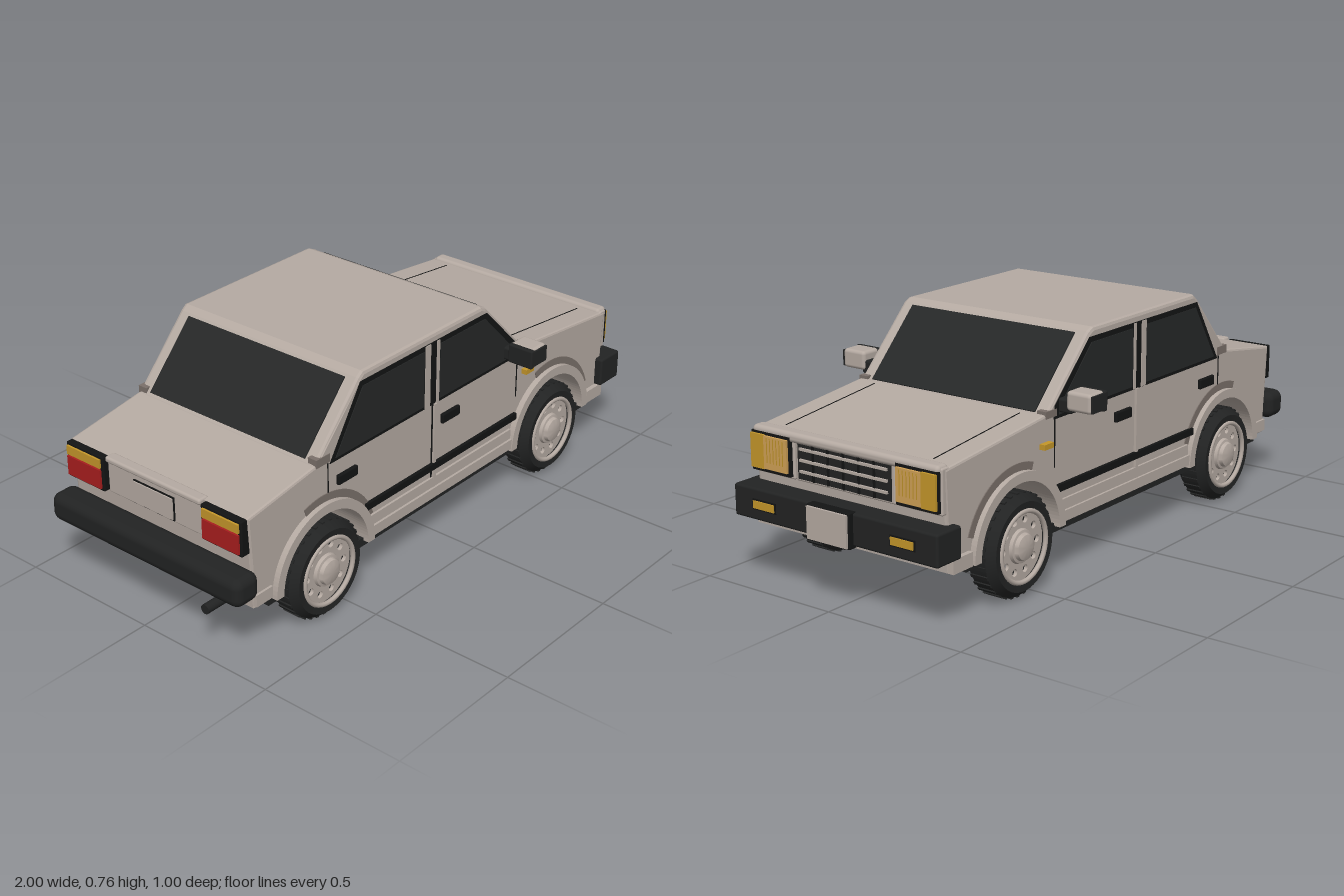
import * as THREE from 'three';
import { mergeGeometries, toCreasedNormals } from 'three/addons/utils/BufferGeometryUtils.js';
import { RoundedBoxGeometry } from 'three/addons/geometries/RoundedBoxGeometry.js';

const mat = (name, color) => Object.assign(new THREE.MeshStandardMaterial({ color }), { name });

export function createModel() {
  const paint = mat('body paint', 0xb5aaa2);
  const shade = mat('dark paint', 0x7a706a);
  const black = mat('black plastic', 0x222323);
  const trim = mat('trim', 0x131414);
  const glass = mat('glass', 0x262828);
  const lens = mat('headlight lens', 0xcfa055);
  const amber = mat('amber lens', 0xc4962a);
  const red = mat('red lens', 0xa81e1e);
  const car = new THREE.Group();
  car.name = 'car';

  const add = (name, geo, m, x = 0, y = 0, z = 0, parent = car) => {
    const mesh = new THREE.Mesh(geo, m);
    mesh.name = name;
    mesh.position.set(x, y, z);
    parent.add(mesh);
    return mesh;
  };
  // box given by its extents on each axis
  const box = (name, m, [x0, x1], [y0, y1], [z0, z1], r = 0) => {
    const d = [x1 - x0, y1 - y0, z1 - z0];
    const geo = r ? new RoundedBoxGeometry(...d, 3, r) : new THREE.BoxGeometry(...d);
    add(name, geo, m, (x0 + x1) / 2, (y0 + y1) / 2, (z0 + z1) / 2);
  };
  // the same box on both flanks
  const pair = (name, m, x, y, [z0, z1], r) => {
    box(name, m, x, y, [z0, z1], r);
    box(name, m, x, y, [-z1, -z0], r);
  };
  const poly = (pts) => new THREE.Shape(pts.map(([x, y]) => new THREE.Vector2(x, y)));
  const extrude = (shape, depth, bevel = 0) => new THREE.ExtrudeGeometry(shape, {
    depth: depth - 2 * bevel, curveSegments: 24, bevelEnabled: bevel > 0,
    bevelThickness: bevel, bevelSize: bevel, bevelOffset: -bevel, bevelSegments: 2,
  });
  // extruded outline on both flanks
  const slab = (name, shape, m, z0, z1) => {
    const geo = extrude(shape, z1 - z0);
    for (const z of [z0, -z1]) add(name, geo, m, 0, 0, z);
  };

  // lower body with wheel arches cut right through
  const axles = [-0.6, 0.57];
  const s = new THREE.Shape();
  s.moveTo(-0.9, 0.17);
  for (const x of axles) {
    s.lineTo(x - 0.2, 0.17);
    s.absarc(x, 0.17, 0.195, Math.PI, 0, true);
  }
  [[0.89, 0.17], [0.905, 0.485], [0.43, 0.535], [-0.63, 0.53], [-0.92, 0.485]].forEach((p) => s.lineTo(...p));
  s.closePath();
  add('body', extrude(s, 0.744, 0.008), paint, 0, 0, -0.364);
  box('underbody', black, [-0.84, 0.81], [0.15, 0.18], [-0.37, 0.37]);
  box('frontValance', paint, [0.8, 0.89], [0.17, 0.215], [-0.388, 0.388]);
  box('rearValance', paint, [-0.9, -0.83], [0.18, 0.22], [-0.38, 0.38]);
  box('hoodLip', paint, [0.875, 0.925], [0.465, 0.498], [-0.365, 0.365], 0.014);

  // cabin and roof
  add('cabin', extrude(poly([[-0.64, 0.515], [-0.43, 0.745], [-0.41, 0.761], [0.175, 0.761], [0.2, 0.75], [0.435, 0.515]]), 0.744, 0.012),
    paint, 0, 0, -0.36);
  const screen = (name, [x0, y0], [x1, y1], halfWidth) => {
    const len = Math.hypot(x1 - x0, y1 - y0);
    const m = add(name, new THREE.BoxGeometry(len, 0.009, halfWidth * 2), glass, (x0 + x1) / 2, (y0 + y1) / 2, 0);
    m.rotation.z = Math.atan2(y1 - y0, x1 - x0);
  };
  screen('windshield', [0.208, 0.742], [0.415, 0.535], 0.325);
  screen('rearWindow', [-0.62, 0.537], [-0.437, 0.7375], 0.325);
  pair('frontPillarBase', shade, [0.37, 0.425], [0.522, 0.545], [0.34, 0.374]);
  pair('rearPillarBase', shade, [-0.625, -0.565], [0.522, 0.55], [0.34, 0.374]);

  // side windows with dark surrounds
  slab('windowSurround', poly([[-0.565, 0.513], [0.385, 0.513], [0.38, 0.555], [0.2, 0.733], [-0.425, 0.733]]), trim, 0.366, 0.374);
  slab('rearDoorFrame', poly([[-0.115, 0.515], [-0.09, 0.515], [-0.09, 0.731], [-0.115, 0.731]]), paint, 0.366, 0.377);
  slab('frontDoorFrame', poly([[-0.058, 0.515], [-0.045, 0.515], [-0.045, 0.731], [-0.058, 0.731]]), paint, 0.366, 0.377);
  slab('rearSideWindow', poly([[-0.54, 0.524], [-0.12, 0.524], [-0.12, 0.716], [-0.415, 0.716]]), glass, 0.368, 0.376);
  slab('frontSideWindow', poly([[-0.04, 0.524], [0.36, 0.524], [0.355, 0.55], [0.19, 0.716], [-0.04, 0.716]]), glass, 0.368, 0.376);

  // flank details
  pair('sideStripe', trim, [-0.405, 0.375], [0.28, 0.303], [0.37, 0.384]);
  pair('sill', paint, [-0.4, 0.37], [0.18, 0.215], [0.36, 0.388]);
  pair('sillStep', paint, [-0.38, 0.35], [0.215, 0.25], [0.36, 0.38]);
  pair('doorSeam', trim, [-0.076, -0.071], [0.22, 0.515], [0.37, 0.3745]);
  pair('doorEdge', paint, [-0.071, -0.058], [0.2, 0.515], [0.37, 0.381]);
  pair('rearDoorSeam', trim, [-0.575, -0.571], [0.39, 0.52], [0.37, 0.374]);
  pair('frontDoorSeam', trim, [0.378, 0.382], [0.36, 0.515], [0.37, 0.374]);
  for (const x of [-0.535, -0.03]) pair('doorHandle', trim, [x, x + 0.09], [0.428, 0.462], [0.37, 0.384], 0.005);
  pair('sideMarker', amber, [0.41, 0.455], [0.435, 0.452], [0.37, 0.392]);
  for (const x of axles) {
    const flare = new THREE.Shape();
    flare.absarc(x, 0.17, 0.225, 0, Math.PI, false);
    flare.absarc(x, 0.17, 0.194, Math.PI, 0, true);
    slab('archFlare', flare, paint, 0.35, 0.392);
    const panel = new THREE.Shape();
    panel.absarc(x, 0.17, 0.25, 0.35, 1.9, false);
    panel.absarc(x, 0.17, 0.22, 1.9, 0.35, true);
    slab('archPanel', panel, shade, 0.369, 0.375);
  }

  // hood seams follow the slope of the hood
  for (const z of [-0.29, 0.29]) {
    const seam = add('hoodSeam', new THREE.BoxGeometry(0.41, 0.003, 0.003), trim, 0.65, 0.512, z);
    seam.rotation.z = Math.atan2(-0.05, 0.475);
  }

  // bumpers, number plates and exhaust
  box('frontBumper', black, [0.865, 0.975], [0.215, 0.317], [-0.4, 0.4], 0.008);
  box('rearBumper', black, [-1, -0.9], [0.22, 0.315], [-0.4, 0.4], 0.03);
  box('plateHolder', trim, [0.96, 0.992], [0.208, 0.32], [-0.084, 0.084], 0.004);
  box('frontPlate', paint, [0.99, 1], [0.213, 0.315], [-0.078, 0.078]);
  pair('bumperLampRim', trim, [0.97, 0.978], [0.25, 0.284], [0.225, 0.32]);
  pair('bumperLamp', amber, [0.97, 0.982], [0.255, 0.279], [0.23, 0.315]);
  const pipe = add('exhaust', new THREE.CylinderGeometry(0.016, 0.016, 0.2, 16), black, -0.885, 0.16, 0.25);
  pipe.rotation.z = Math.PI / 2;

  // grille
  box('grilleFrame', paint, [0.88, 0.914], [0.348, 0.49], [-0.195, 0.195], 0.006);
  box('grille', black, [0.9, 0.918], [0.357, 0.48], [-0.183, 0.183]);
  for (const z of [-0.12, -0.06, 0, 0.06, 0.12]) box('grilleRib', trim, [0.91, 0.921], [0.357, 0.48], [z - 0.004, z + 0.004]);
  for (const y of [0.383, 0.418, 0.453]) box('grilleBar', paint, [0.91, 0.925], [y - 0.004, y + 0.004], [-0.172, 0.172]);

  // headlights
  pair('headlightFrame', paint, [0.88, 0.914], [0.348, 0.49], [0.2, 0.37], 0.006);
  pair('headlightBezel', trim, [0.9, 0.927], [0.357, 0.482], [0.208, 0.364]);
  pair('headlight', lens, [0.9, 0.935], [0.369, 0.473], [0.214, 0.308]);
  pair('cornerLamp', amber, [0.9, 0.935], [0.367, 0.475], [0.308, 0.362]);
  for (let i = 0; i < 6; i++) {
    const z = 0.228 + i * 0.013;
    pair('headlightRib', amber, [0.93, 0.937], [0.39, 0.468], [z, z + 0.002]);
  }

  // tail lights and boot panel
  pair('tailBezel', trim, [-0.942, -0.89], [0.365, 0.485], [0.205, 0.368], 0.005);
  pair('tailLamp', red, [-0.949, -0.9], [0.375, 0.44], [0.215, 0.36]);
  pair('tailIndicator', amber, [-0.949, -0.9], [0.446, 0.476], [0.215, 0.36]);
  box('bootPanel', paint, [-0.928, -0.89], [0.365, 0.48], [-0.2, 0.2], 0.005);
  box('rearPlateRim', trim, [-0.932, -0.92], [0.372, 0.452], [-0.085, 0.085]);
  box('rearPlate', paint, [-0.936, -0.925], [0.376, 0.448], [-0.081, 0.081]);
  box('bootLip', paint, [-0.94, -0.9], [0.472, 0.492], [-0.2, 0.2], 0.008);

  // door mirrors
  pair('mirrorStalk', black, [0.3, 0.36], [0.53, 0.575], [0.365, 0.42], 0.008);
  pair('mirrorBack', black, [0.28, 0.3], [0.538, 0.603], [0.405, 0.499], 0.006);
  pair('mirrorShell', paint, [0.29, 0.367], [0.541, 0.604], [0.404, 0.495], 0.012);
  pair('mirrorEnd', black, [0.29, 0.362], [0.545, 0.598], [0.493, 0.5]);

  // wheels, built facing +z
  const lathe = (pts, segments) => toCreasedNormals(
    new THREE.LatheGeometry(pts.map((p) => new THREE.Vector2(...p)), segments).rotateX(Math.PI / 2), 0.5);
  const tyre = lathe([[0.11, 0.02], [0.11, -0.05], [0.14, -0.055], [0.161, -0.03], [0.161, 0.03], [0.14, 0.055], [0.114, 0.052], [0.11, 0.02]], 40);
  const lugs = [];
  for (let i = 0; i < 32; i++) {
    lugs.push(new THREE.BoxGeometry(0.012, 0.02, 0.062).translate(0, 0.155, 0).rotateZ((i / 32) * Math.PI * 2));
  }
  const tread = mergeGeometries(lugs);
  const disc = new THREE.Shape();
  disc.absarc(0, 0, 0.113, 0, Math.PI * 2, false);
  for (let i = 0; i < 10; i++) {
    const a = (i / 10) * Math.PI * 2;
    const hole = new THREE.Path();
    hole.absarc(0.083 * Math.cos(a), 0.083 * Math.sin(a), 0.012, 0, Math.PI * 2, true);
    disc.holes.push(hole);
  }
  const rim = extrude(disc, 0.012);
  const lip = new THREE.TorusGeometry(0.111, 0.008, 8, 40);
  const hub = lathe([[0.056, 0], [0.052, 0.012], [0.044, 0.014], [0.04, 0.026], [0.025, 0.031], [0, 0.032]], 28);
  for (const x of axles) {
    for (const side of [1, -1]) {
      const wheel = new THREE.Group();
      wheel.name = (x > 0 ? 'front' : 'rear') + 'Wheel';
      wheel.position.set(x, 0.165, side * 0.347);
      if (side < 0) wheel.rotation.y = Math.PI;
      add('tyre', tyre, black, 0, 0, 0, wheel);
      add('tread', tread, black, 0, 0, 0, wheel);
      add('rim', rim, paint, 0, 0, 0.025, wheel);
      add('rimLip', lip, paint, 0, 0, 0.051, wheel);
      add('hubCap', hub, paint, 0, 0, 0.035, wheel);
      car.add(wheel);
    }
  }
  return car;
}
